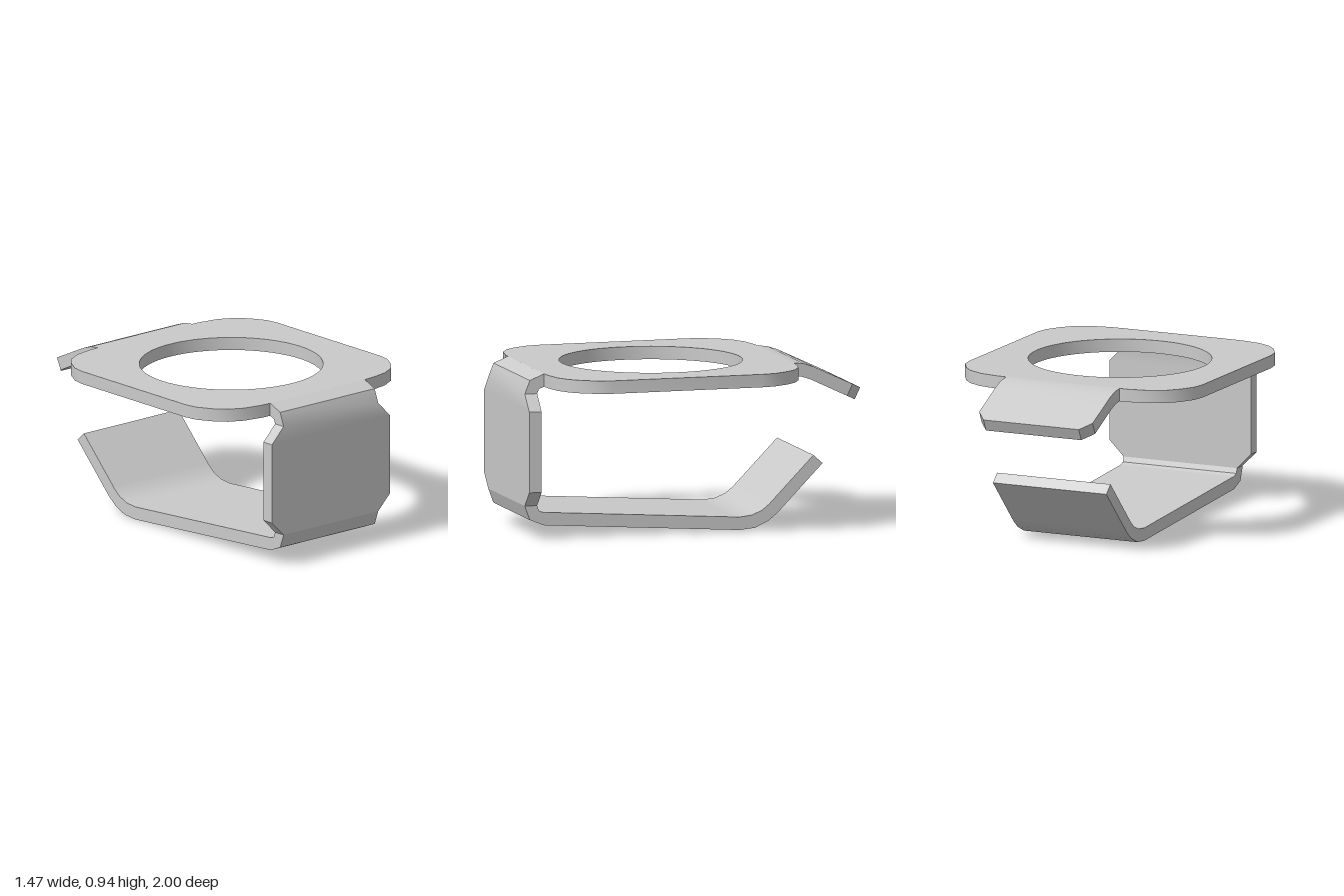
import * as THREE from 'three';
import { toCreasedNormals } from 'three/addons/utils/BufferGeometryUtils.js';

const HALF = 0.357; // half width of the bent strip
const CREASE = 0.6;

// Bent sheet strip: each station is [outer z, outer y, inner z, inner y, half width]
function ribbon(stations) {
  const rings = stations.map(([uz, uy, lz, ly, w = HALF]) => [
    [-w, uy, uz], [w, uy, uz], [w, ly, lz], [-w, ly, lz],
  ]);
  const positions = [];
  const quad = (a, b, c, d) => positions.push(...a, ...b, ...c, ...a, ...c, ...d);
  for (let i = 0; i < rings.length - 1; i++) {
    for (let k = 0; k < 4; k++) {
      const n = (k + 1) % 4;
      quad(rings[i][k], rings[i + 1][k], rings[i + 1][n], rings[i][n]);
    }
  }
  const last = rings[rings.length - 1];
  quad(...rings[0]);
  quad(last[3], last[2], last[1], last[0]);
  const geometry = new THREE.BufferGeometry();
  geometry.setAttribute('position', new THREE.Float32BufferAttribute(positions, 3));
  return toCreasedNormals(geometry, CREASE);
}

// Flat plate with faceted round corners and a large round hole
function plateGeometry() {
  const centre = 0.148;
  const corner = [[0.357, 0.737], [0.42, 0.734], [0.53, 0.713], [0.615, 0.668],
    [0.672, 0.606], [0.722, 0.518], [0.735, 0.44]];
  const back = [...corner].reverse();
  const outline = [
    ...corner,
    ...back.map(([x, z]) => [x, -z]),
    ...corner.map(([x, z]) => [-x, -z]),
    ...back.map(([x, z]) => [-x, z]),
  ].map(([x, z]) => new THREE.Vector2(x, z + centre));
  const shape = new THREE.Shape(outline);
  // The outline runs clockwise, so the hole runs the other way
  shape.holes.push(new THREE.Path().absarc(0, centre, 0.52, 0, Math.PI * 2, false));
  const geometry = new THREE.ExtrudeGeometry(shape, {
    depth: 0.074, bevelEnabled: false, curveSegments: 32,
  });
  geometry.rotateX(Math.PI / 2).translate(0, 0.942, 0);
  return toCreasedNormals(geometry, CREASE);
}

export function createModel() {
  const group = new THREE.Group();
  const metal = new THREE.MeshStandardMaterial({ color: 0xcacaca });
  metal.name = 'grey metal';
  const add = (name, geometry) => {
    const mesh = new THREE.Mesh(geometry, metal);
    mesh.name = name;
    group.add(mesh);
  };

  add('ringPlate', plateGeometry());

  // Rear tab bends down and ends in clipped corners
  add('rearTab', ribbon([
    [-0.999, 0.777, -0.967, 0.710, 0.3],
    [-0.937, 0.807, -0.905, 0.740],
    [-0.71, 0.914, -0.685, 0.845],
    [-0.65, 0.935, -0.637, 0.861],
    [-0.589, 0.942, -0.589, 0.868],
  ]));

  // Front wall hangs from the plate and widens below the bend
  add('frontWall', ribbon([
    [0.885, 0.942, 0.885, 0.868],
    [0.97, 0.907, 0.916, 0.856],
    [1.0, 0.83, 0.927, 0.83],
    [1.0, 0.739, 0.927, 0.739, 0.445],
    [1.0, 0.278, 0.927, 0.278, 0.445],
    [1.0, 0.19, 0.927, 0.19],
  ]));

  // Floor strip with an upturned lip; close stations keep the long faces flat
  add('floorAndLip', ribbon([
    [1.0, 0.19, 0.927, 0.19],
    [0.97, 0.109, 0.917, 0.161],
    [0.888, 0.076, 0.892, 0.15],
    [0.87, 0.0748, 0.87, 0.1486],
    [-0.25, 0.0013, -0.25, 0.0752],
    [-0.27, 0.0, -0.27, 0.074],
    [-0.36, 0.009, -0.34, 0.082],
    [-0.44, 0.046, -0.40, 0.106],
    [-0.495, 0.09, -0.445, 0.142],
    [-0.505, 0.1003, -0.455, 0.1523],
    [-0.76, 0.362, -0.706, 0.41],
  ]));

  return group;
}
